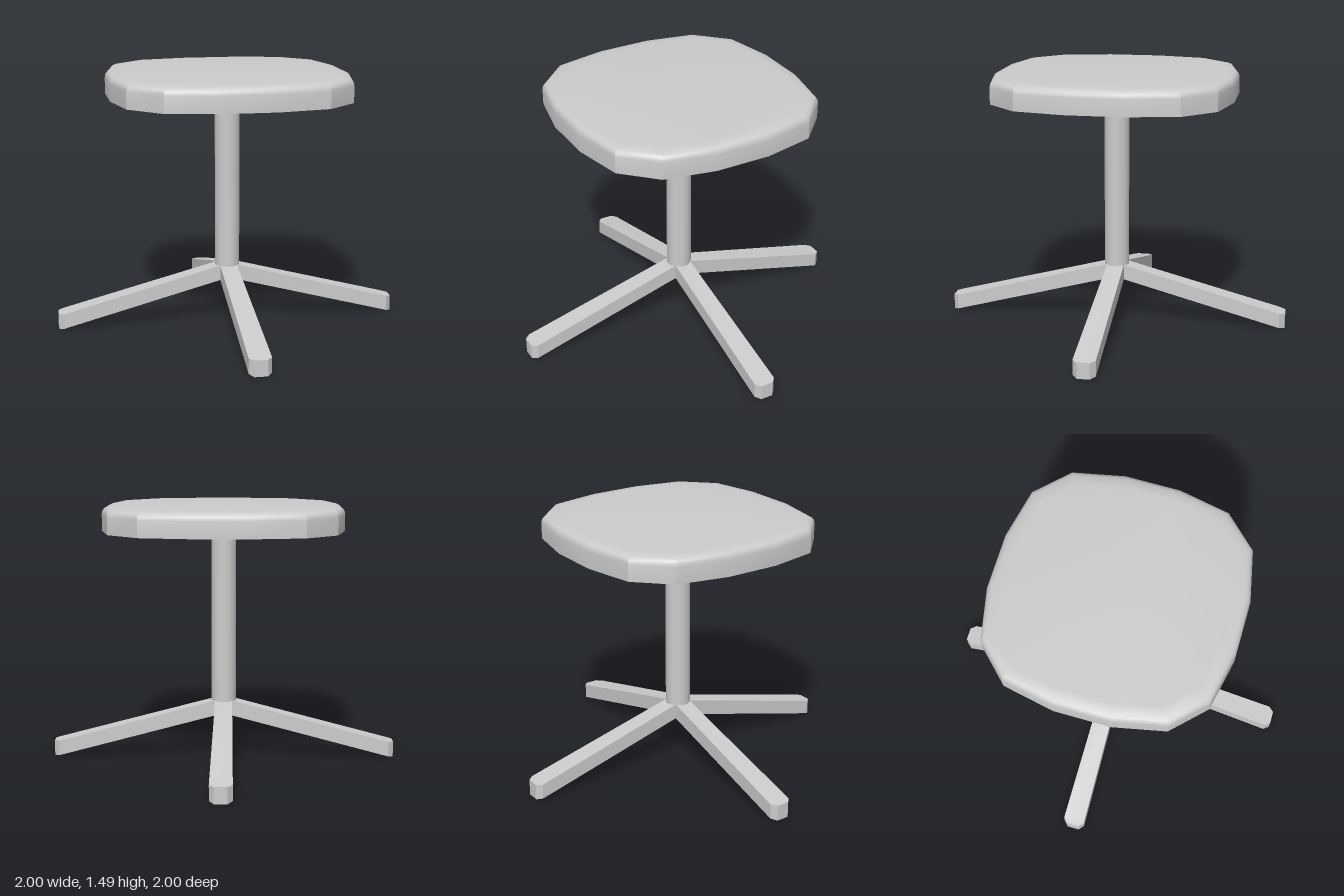
import * as THREE from 'three';
import { toCreasedNormals } from 'three/addons/utils/BufferGeometryUtils.js';

const material = new THREE.MeshStandardMaterial({ color: 0xcccccc });

// Skins a list of equal-length rings (counter-clockwise about the loft direction) and caps both ends.
function loft(rings, crease) {
  const n = rings[0].length;
  const last = (rings.length - 1) * n;
  const index = [];
  for (let i = 0; i < rings.length - 1; i++) {
    for (let j = 0; j < n; j++) {
      const a = i * n + j, b = i * n + (j + 1) % n;
      index.push(a, b, b + n, a, b + n, a + n);
    }
  }
  for (let j = 1; j < n - 1; j++) {
    index.push(0, j + 1, j);
    index.push(last, last + j, last + j + 1);
  }
  const geometry = new THREE.BufferGeometry();
  geometry.setAttribute('position', new THREE.Float32BufferAttribute(rings.flat(2), 3));
  geometry.setIndex(index);
  return toCreasedNormals(geometry, crease);
}

function addMesh(parent, name, geometry) {
  const mesh = new THREE.Mesh(geometry, material);
  mesh.name = name;
  parent.add(mesh);
  return mesh;
}

// Cushion: a sixteen-sided rounded square with a softened top edge
function seatGeometry() {
  const quarter = [[0.688, -0.158], [0.688, 0.158], [0.628, 0.45], [0.45, 0.628]];
  const outline = [];
  for (let q = 0; q < 4; q++) {
    const c = Math.round(Math.cos(q * Math.PI / 2)), s = Math.round(Math.sin(q * Math.PI / 2));
    for (const [u, v] of quarter) outline.push([u * c - v * s, u * s + v * c]);
  }
  const levels = [[1, 1.346], [1, 1.44], [0.994, 1.46], [0.98, 1.473], [0.955, 1.482], [0.88, 1.487]];
  return loft(levels.map(([k, y]) => outline.map(([u, v]) => [u * k, y, -v * k])), 0.5);
}

// Leg: a sloping bar that widens slightly outwards and ends in a chamfered tip
function legGeometry() {
  const sections = [ // x, bottom, top, half width
    [0, 0.262, 0.338, 0.05],
    [0.055, 0.248, 0.338, 0.05],
    [0.97, 0.008, 0.095, 0.0625],
    [1, 0, 0.092, 0.036],
  ];
  return loft(sections.map(([x, b, t, w]) => [[x, t, w], [x, b, w], [x, b, -w], [x, t, -w]]), 0.3);
}

export function createModel() {
  const model = new THREE.Group();
  model.name = 'stool';

  addMesh(model, 'seat', seatGeometry());

  const post = addMesh(model, 'post', new THREE.CylinderGeometry(0.072, 0.072, 1.02, 24));
  post.position.y = 0.84;

  // Four legs in a cross
  const base = new THREE.Group();
  base.name = 'base';
  const leg = legGeometry();
  for (let i = 0; i < 4; i++) {
    addMesh(base, 'leg', leg).rotation.y = i * Math.PI / 2;
  }
  model.add(base);

  return model;
}
